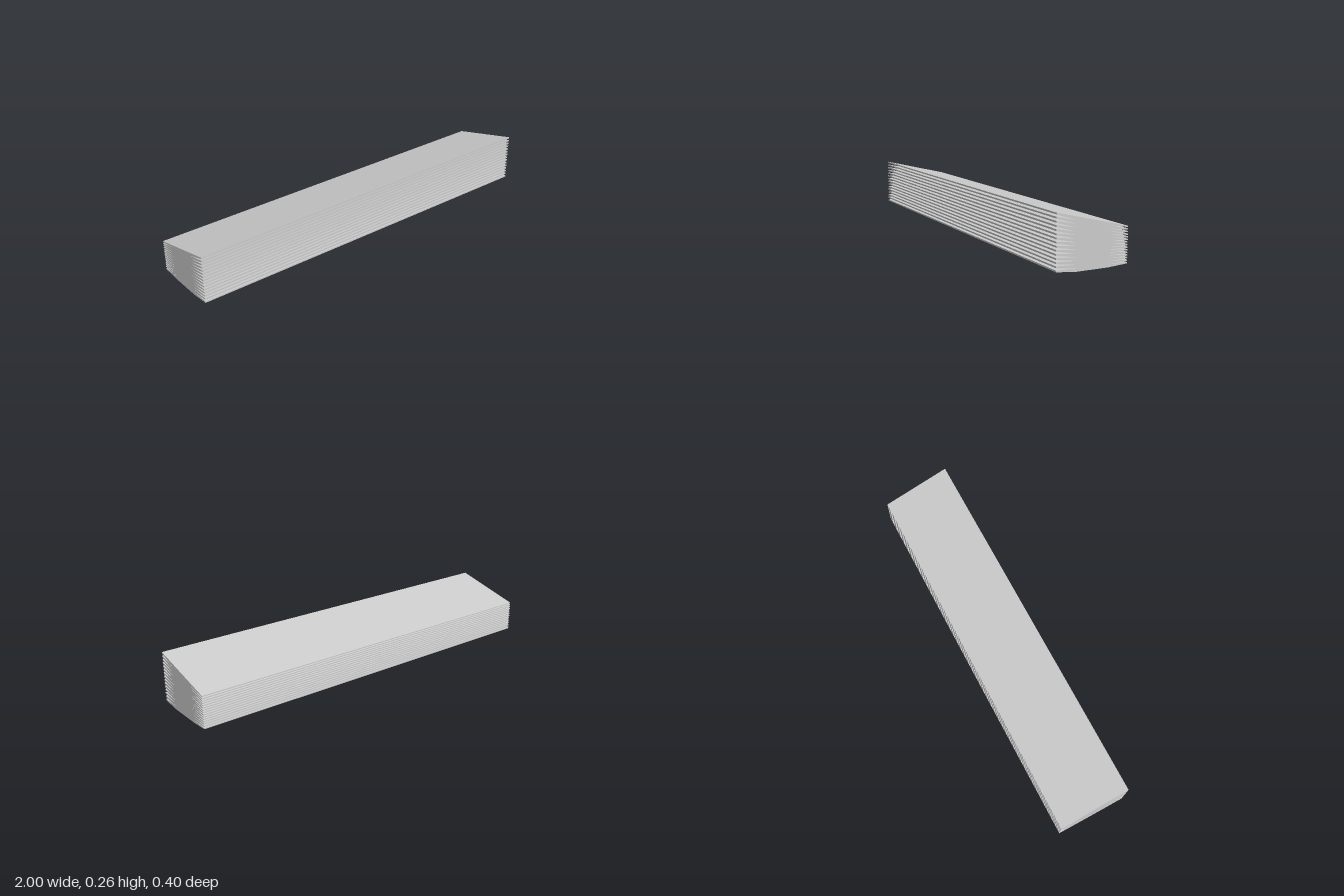
import * as THREE from 'three';

const LAYERS = 15;
const HALF_WIDTH = 0.183; // half the depth of a plank
const HALF_FLAT = 0.083;  // half the depth of the flat underside
const SKEW = 0.0165;      // sideways shift of each end

// Layer thickness grows from back to front, so the stack fans open
const pitch = (z) => 0.01425 + 0.01625 * z;

// A box bent into a wedge plank: straight top, underside rising to thin edges
function plankGeometry(layer) {
  const geometry = new THREE.BoxGeometry(2, 2, 2, 1, 1, 3);
  const p = geometry.attributes.position;
  for (let i = 0; i < p.count; i++) {
    const x = p.getX(i);
    const isTop = p.getY(i) > 0;
    const isEdge = Math.abs(p.getZ(i)) > 0.9;
    const z = Math.sign(p.getZ(i)) * (isEdge ? HALF_WIDTH : HALF_FLAT) + SKEW * x;
    const level = layer + (isTop ? 1 : isEdge ? 0.56 : 0);
    p.setXYZ(i, x, level * pitch(z), z);
  }
  const flat = geometry.toNonIndexed();
  flat.computeVertexNormals();
  return flat;
}

export function createModel() {
  const group = new THREE.Group();
  group.name = 'plankStack';
  const material = new THREE.MeshStandardMaterial({ color: 0xcccccc, flatShading: true });

  // Planks from the ground up
  for (let layer = 0; layer < LAYERS; layer++) {
    const plank = new THREE.Mesh(plankGeometry(layer), material);
    plank.name = `plank${layer + 1}`;
    group.add(plank);
  }
  return group;
}
